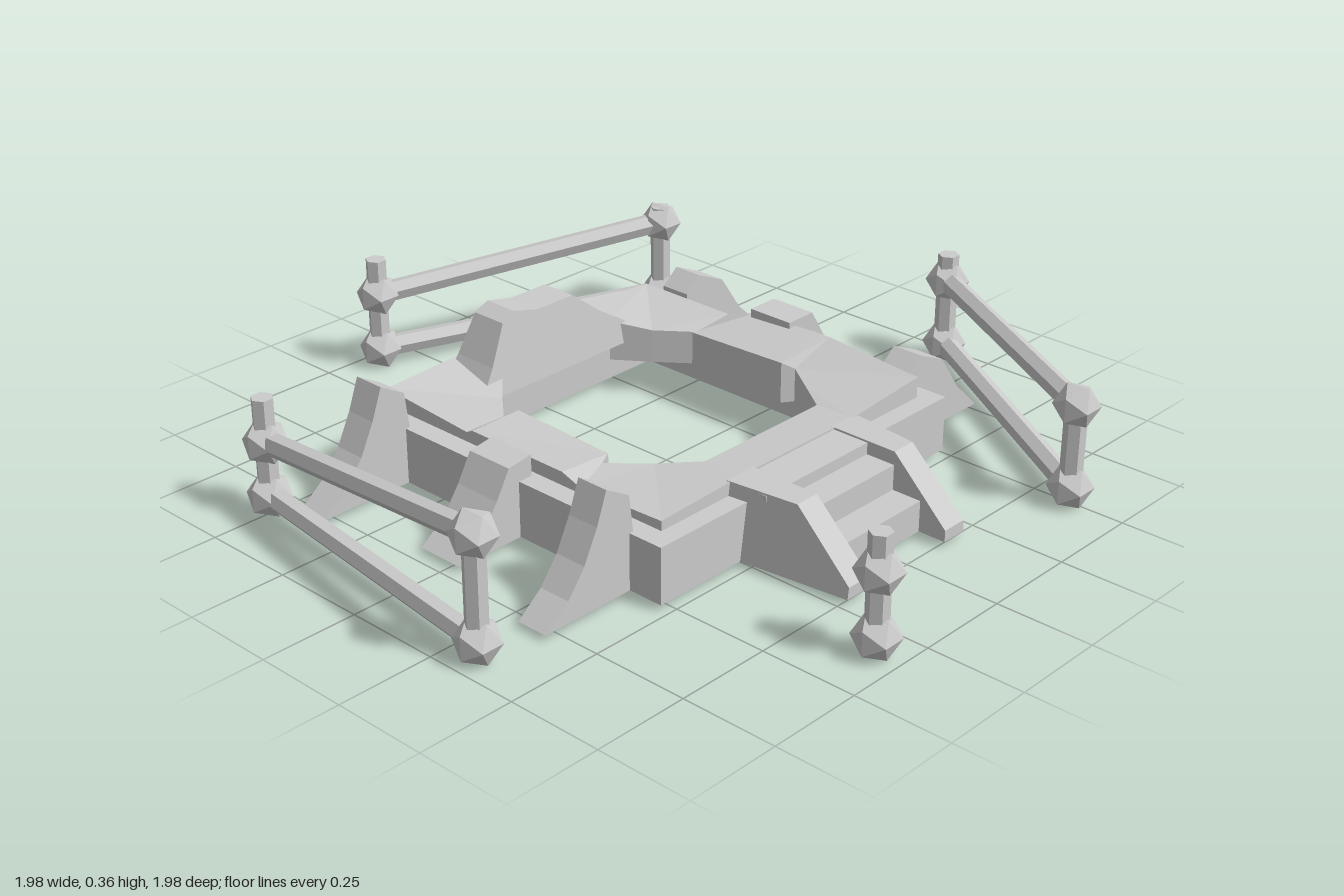
import * as THREE from 'three';

const mat = new THREE.MeshStandardMaterial({ color: 0xcccccc, flatShading: true, side: THREE.DoubleSide });

function add(parent, geo, name) {
  const m = new THREE.Mesh(geo, mat);
  m.name = name;
  parent.add(m);
  return m;
}

// Box given by its limits
function block(parent, name, x0, x1, y0, y1, z0, z1) {
  const m = add(parent, new THREE.BoxGeometry(x1 - x0, y1 - y0, z1 - z0), name);
  m.position.set((x0 + x1) / 2, (y0 + y1) / 2, (z0 + z1) / 2);
}

// Side profile extruded to a centred width
function slab(profile, width) {
  const shape = new THREE.Shape(profile.map(([x, y]) => new THREE.Vector2(x, y)));
  return new THREE.ExtrudeGeometry(shape, { depth: width, bevelEnabled: false }).translate(0, 0, -width / 2);
}

// Ring of stations: [outer x, outer z, inner x, inner z, outer height, inner height]
function ringGeometry(stations, y0) {
  const pos = [], idx = [], n = stations.length;
  for (const [ox, oz, ix, iz, ho, hi] of stations) {
    pos.push(ox, y0, oz, ox, ho, oz, ix, hi, iz, ix, y0, iz);
  }
  for (let i = 0; i < n; i++) {
    for (let j = 0; j < 4; j++) {
      const k = (j + 1) % 4, a = i * 4, c = ((i + 1) % n) * 4;
      idx.push(a + j, a + k, c + j, a + k, c + k, c + j);
    }
  }
  const g = new THREE.BufferGeometry();
  g.setAttribute('position', new THREE.Float32BufferAttribute(pos, 3));
  g.setIndex(idx);
  const flat = g.toNonIndexed();
  flat.computeVertexNormals();
  return flat;
}

// Hexagonal bar between two points
function bar(parent, name, a, b, r) {
  const d = b.clone().sub(a);
  const m = add(parent, new THREE.CylinderGeometry(r, r, d.length(), 6), name);
  m.position.copy(a).add(b).multiplyScalar(0.5);
  m.quaternion.setFromUnitVectors(new THREE.Vector3(0, 1, 0), d.normalize());
}

// Post [x, z, upper knob height, post top] with two faceted knobs
const LOW = 0.055;
function post(parent, [x, z, knobY, top]) {
  bar(parent, 'post', new THREE.Vector3(x, 0.02, z), new THREE.Vector3(x, top, z), 0.028);
  for (const y of [LOW, knobY]) {
    add(parent, new THREE.IcosahedronGeometry(0.058, 0), 'postKnob').position.set(x, y, z);
  }
}

function fence(parent, name, a, b) {
  const g = new THREE.Group();
  g.name = name;
  post(g, a);
  if (b) {
    post(g, b);
    bar(g, 'lowerRail', new THREE.Vector3(a[0], LOW, a[1]), new THREE.Vector3(b[0], LOW, b[1]), 0.029);
    bar(g, 'upperRail', new THREE.Vector3(a[0], a[2], a[1]), new THREE.Vector3(b[0], b[2], b[1]), 0.029);
  }
  parent.add(g);
}

export function createModel() {
  const model = new THREE.Group();
  model.name = 'ruinedTowerBase';

  // Square foundation with a square opening
  const rect = (s, x0, x1, z0, z1) =>
    s.moveTo(x0, -z0).lineTo(x1, -z0).lineTo(x1, -z1).lineTo(x0, -z1).closePath();
  const base = rect(new THREE.Shape(), -0.53, 0.48, -0.49, 0.53);
  base.holes.push(rect(new THREE.Path(), -0.41, 0.36, -0.37, 0.41));
  const baseGeo = new THREE.ExtrudeGeometry(base, { depth: 0.145, bevelEnabled: false });
  add(model, baseGeo.rotateX(-Math.PI / 2).translate(0, 0.02, 0), 'foundation');

  // Broken floor around an eight-sided opening
  add(model, ringGeometry([
    [-0.485, -0.18, -0.37, -0.18, 0.22, 0.21],
    [-0.485, -0.44, -0.28, -0.245, 0.2, 0.19],
    [-0.19, -0.44, -0.19, -0.315, 0.2, 0.19],
    [-0.1, -0.44, -0.18, -0.29, 0.23, 0.2],
    [0.1, -0.44, 0.12, -0.29, 0.24, 0.21],
    [0.15, -0.44, 0.14, -0.32, 0.24, 0.19],
    [0.43, -0.44, 0.225, -0.26, 0.22, 0.19],
    [0.43, -0.19, 0.31, -0.2, 0.2, 0.19],
    [0.43, 0.22, 0.31, 0.2, 0.2, 0.19],
    [0.43, 0.475, 0.22, 0.275, 0.19, 0.18],
    [0.18, 0.475, 0.13, 0.355, 0.18, 0.18],
    [0.12, 0.475, 0.12, 0.325, 0.2, 0.19],
    [-0.18, 0.475, -0.18, 0.325, 0.2, 0.2],
    [-0.2, 0.475, -0.2, 0.355, 0.19, 0.18],
    [-0.485, 0.475, -0.285, 0.28, 0.21, 0.18],
    [-0.485, 0.24, -0.37, 0.2, 0.22, 0.2],
  ], 0.1), 'brokenFloor');

  // Tall wall remnant, thinning toward the top
  const remnant = slab([
    [-0.26, 0.15], [-0.21, 0.21], [-0.13, 0.26], [-0.04, 0.33], [0.08, 0.33],
    [0.16, 0.35], [0.2, 0.33], [0.25, 0.23], [0.3, 0.15],
  ], 0.12);
  remnant.rotateY(-Math.PI / 2).translate(-0.42, 0, 0);
  const rp = remnant.attributes.position;
  for (let i = 0; i < rp.count; i++) {
    const t = (0.35 - rp.getY(i)) / 0.2;
    if (rp.getX(i) > -0.42) rp.setX(i, -0.365 + 0.025 * t);
    else rp.setX(i, -0.46 - 0.025 * t);
  }
  remnant.computeVertexNormals();
  add(model, remnant, 'wallRemnant');

  // Buttresses; profiles run outward from the wall
  const tall = [[-0.03, 0.02], [0, 0.26], [0.07, 0.3], [0.1, 0.22], [0.14, 0.14], [0.19, 0.075], [0.26, 0.02]];
  const rear = [[-0.03, 0.02], [-0.03, 0.2], [0.02, 0.24], [0.11, 0.2], [0.18, 0.1], [0.265, 0.02]];
  const frontMid = [[-0.04, 0.02], [-0.04, 0.22], [0.03, 0.21], [0.07, 0.14], [0.12, 0.07], [0.19, 0.02]];
  const rearMid = [[-0.07, 0.02], [-0.07, 0.25], [0.02, 0.25], [0.07, 0.17], [0.13, 0.08], [0.2, 0.02]];
  const side = [[-0.06, 0.02], [-0.06, 0.25], [0.01, 0.26], [0.04, 0.22], [0.08, 0.14], [0.13, 0.07], [0.2, 0.02]];
  const buttress = (name, profile, width, x, z, turn) => {
    const m = add(model, slab(profile, width), name);
    m.position.set(x, 0, z);
    m.rotation.y = turn;
  };
  for (const x of [-0.398, 0.343]) {
    buttress('frontButtress', tall, 0.085, x, 0.53, -Math.PI / 2);
    buttress('backButtress', rear, 0.085, x, -0.49, Math.PI / 2);
  }
  buttress('frontMiddleButtress', frontMid, 0.13, -0.03, 0.53, -Math.PI / 2);
  buttress('backMiddleButtress', rearMid, 0.13, -0.03, -0.49, Math.PI / 2);
  buttress('sideButtress', side, 0.13, -0.53, 0.015, Math.PI);

  // Entrance landing, steps and flared cheek walls
  block(model, 'landing', 0.4, 0.53, 0.02, 0.195, -0.2, 0.24);
  block(model, 'upperStep', 0.5, 0.61, 0.02, 0.165, -0.13, 0.17);
  block(model, 'lowerStep', 0.5, 0.69, 0.02, 0.1, -0.13, 0.17);
  for (const s of [-1, 1]) {
    const cheek = slab([[0.42, 0.02], [0.765, 0.02], [0.765, 0.05], [0.61, 0.2], [0.42, 0.2]], 0.1);
    const p = cheek.attributes.position;
    for (let i = 0; i < p.count; i++) {
      const x = p.getX(i), drop = (0.2 - p.getY(i)) / 0.18;
      const outer = p.getZ(i) * s > 0;
      const reach = outer ? 0.23 - 0.12 * (x - 0.42) + 0.025 * drop : 0.14;
      p.setZ(i, 0.02 + s * reach);
    }
    cheek.computeVertexNormals();
    add(model, cheek, 'cheekWall');
  }

  // Fences and the lone post
  fence(model, 'frontFence', [-0.5, 0.835, 0.195, 0.31], [0.335, 0.94, 0.315, 0.33]);
  fence(model, 'sideFence', [-0.942, 0.115, 0.21, 0.31], [-0.655, -0.675, 0.265, 0.31]);
  fence(model, 'backFence', [0.14, -0.945, 0.235, 0.31], [0.855, -0.49, 0.27, 0.31]);
  fence(model, 'lonePost', [0.937, 0.35, 0.215, 0.31]);
  return model;
}
